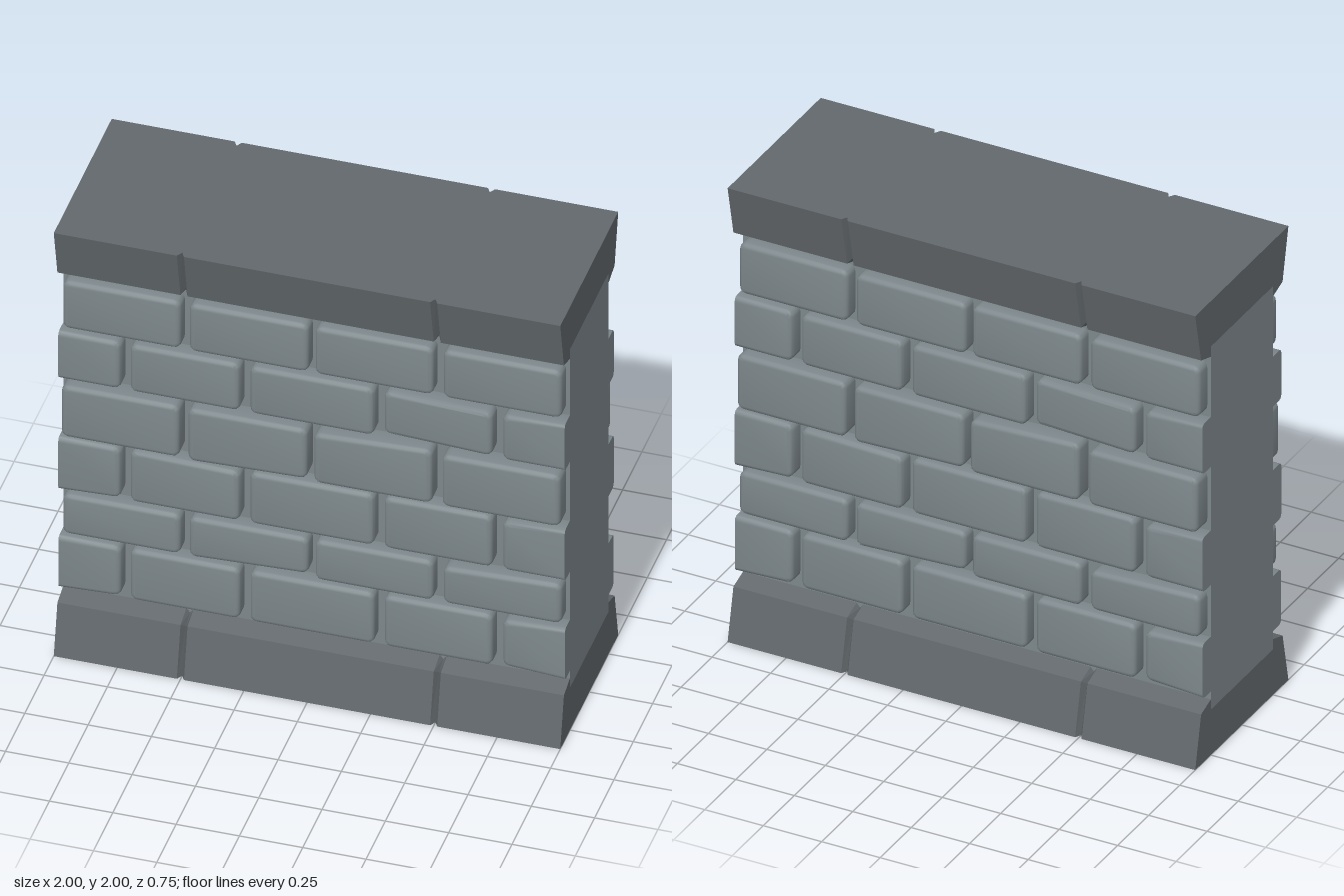
import * as THREE from 'three';
import { toCreasedNormals } from 'three/addons/utils/BufferGeometryUtils.js';

const brickMaterial = new THREE.MeshStandardMaterial({ color: 0x7d878b });
const slabMaterial = new THREE.MeshStandardMaterial({ color: 0x62686c });

// Quadrilateral with rounded corners, given counter-clockwise
function roundedQuad(corners, r) {
  const shape = new THREE.Shape();
  const pts = corners.map(([x, y]) => new THREE.Vector2(x, y));
  pts.forEach((p, i) => {
    const prev = pts[(i + 3) % 4], next = pts[(i + 1) % 4];
    const a = prev.clone().sub(p).setLength(r).add(p);
    const b = next.clone().sub(p).setLength(r).add(p);
    if (i === 0) shape.moveTo(a.x, a.y); else shape.lineTo(a.x, a.y);
    shape.quadraticCurveTo(p.x, p.y, b.x, b.y);
  });
  shape.closePath();
  return shape;
}

// Bevelled brick standing out of the wall; tilt shifts corner heights [BL, BR, TR, TL]
function makeBrick(x0, x1, y0, y1, front, tilt = [0, 0, 0, 0]) {
  const bevel = 0.018;
  const shape = roundedQuad([
    [x0 + bevel, y0 + bevel + tilt[0]], [x1 - bevel, y0 + bevel + tilt[1]],
    [x1 - bevel, y1 - bevel + tilt[2]], [x0 + bevel, y1 - bevel + tilt[3]],
  ], 0.012);
  const geo = new THREE.ExtrudeGeometry(shape, {
    depth: front - bevel - 0.245, bevelEnabled: true, bevelThickness: bevel,
    bevelSize: bevel, bevelSegments: 3, curveSegments: 3,
  });
  geo.translate(0, 0, 0.245);
  // Cut bricks flush with the wall ends
  const pos = geo.attributes.position;
  for (let i = 0; i < pos.count; i++) pos.setX(i, THREE.MathUtils.clamp(pos.getX(i), -1, 1));
  const mesh = new THREE.Mesh(toCreasedNormals(geo, 0.7), brickMaterial);
  mesh.name = 'brick';
  return mesh;
}

// Flared slab along x with V grooves between its three stones
function makeSlab(name) {
  const half = [[0.375, 2], [0.328, 1.78], [0.25, 1.755], [0.25, 1.8]];
  const profile = [...half, ...half.map(([z, y]) => [-z, y]).reverse()];
  const shape = new THREE.Shape(profile.map(([z, y]) => new THREE.Vector2(z, y)));
  const stations = [-1, -0.514, -0.5, -0.486, 0.486, 0.5, 0.514, 1];
  const geo = new THREE.ExtrudeGeometry(shape, { depth: 7, steps: 7, bevelEnabled: false });
  const pos = geo.attributes.position;
  for (let i = 0; i < pos.count; i++) {
    const station = Math.round(pos.getZ(i));
    let z = pos.getX(i), y = pos.getY(i);
    if (station === 2 || station === 5) {
      if (Math.abs(z) > 0.3) z -= Math.sign(z) * 0.024;
      if (y < 1.79) y += 0.018;
    }
    pos.setXYZ(i, stations[station], y, -z);
  }
  geo.computeVertexNormals();
  const mesh = new THREE.Mesh(geo, slabMaterial);
  mesh.name = name;
  return mesh;
}

// One face of brick courses
function makeBrickFace(name) {
  const group = new THREE.Group();
  group.name = name;
  const whole = [[-0.985, -0.52], [-0.485, -0.015], [0.012, 0.478], [0.518, 0.985]];
  const offset = [[-1.06, -0.755], [-0.718, -0.285], [-0.245, 0.245], [0.285, 0.712], [0.753, 1.06]];
  // bottom, top, front, layout, tilted bricks by index
  const courses = [
    [0.285, 0.522, 0.316, offset, { 0: [-0.005, 0.005, 0, 0], 4: [0.01, -0.005, 0, -0.012] }],
    [0.54, 0.725, 0.316, whole, { 1: [0, 0.018, 0, 0], 3: [0, 0, 0, -0.015] }],
    [0.75, 0.99, 0.318, offset, { 0: [-0.005, 0.005, 0, 0], 1: [0, 0, -0.01, 0], 4: [0, 0, 0, -0.012] }],
    [1.01, 1.25, 0.333, whole, { 1: [-0.005, 0.008, 0, 0], 2: [0, 0, 0.01, -0.008] }],
    [1.27, 1.49, 0.318, offset, { 3: [0.022, 0.005, -0.012, 0], 4: [0, 0, 0, -0.01] }],
    [1.51, 1.732, 0.315, whole, {}],
  ];
  for (const [y0, y1, front, spans, tilts] of courses) {
    spans.forEach(([x0, x1], i) => group.add(makeBrick(x0, x1, y0, y1, front, tilts[i])));
  }
  return group;
}

export function createModel() {
  const model = new THREE.Group();
  model.name = 'brickWall';

  // Plain mortar core
  const core = new THREE.Mesh(new THREE.BoxGeometry(2, 1.6, 0.5), brickMaterial);
  core.name = 'core';
  core.position.y = 1;
  model.add(core);

  // Coping on top, and the same slab turned over as the plinth
  model.add(makeSlab('coping'));
  const plinth = makeSlab('plinth');
  plinth.rotation.x = Math.PI;
  plinth.position.y = 2;
  model.add(plinth);

  // Bricks on both faces, the back turned half round
  model.add(makeBrickFace('frontBricks'));
  const back = makeBrickFace('backBricks');
  back.rotation.y = Math.PI;
  model.add(back);
  return model;
}
